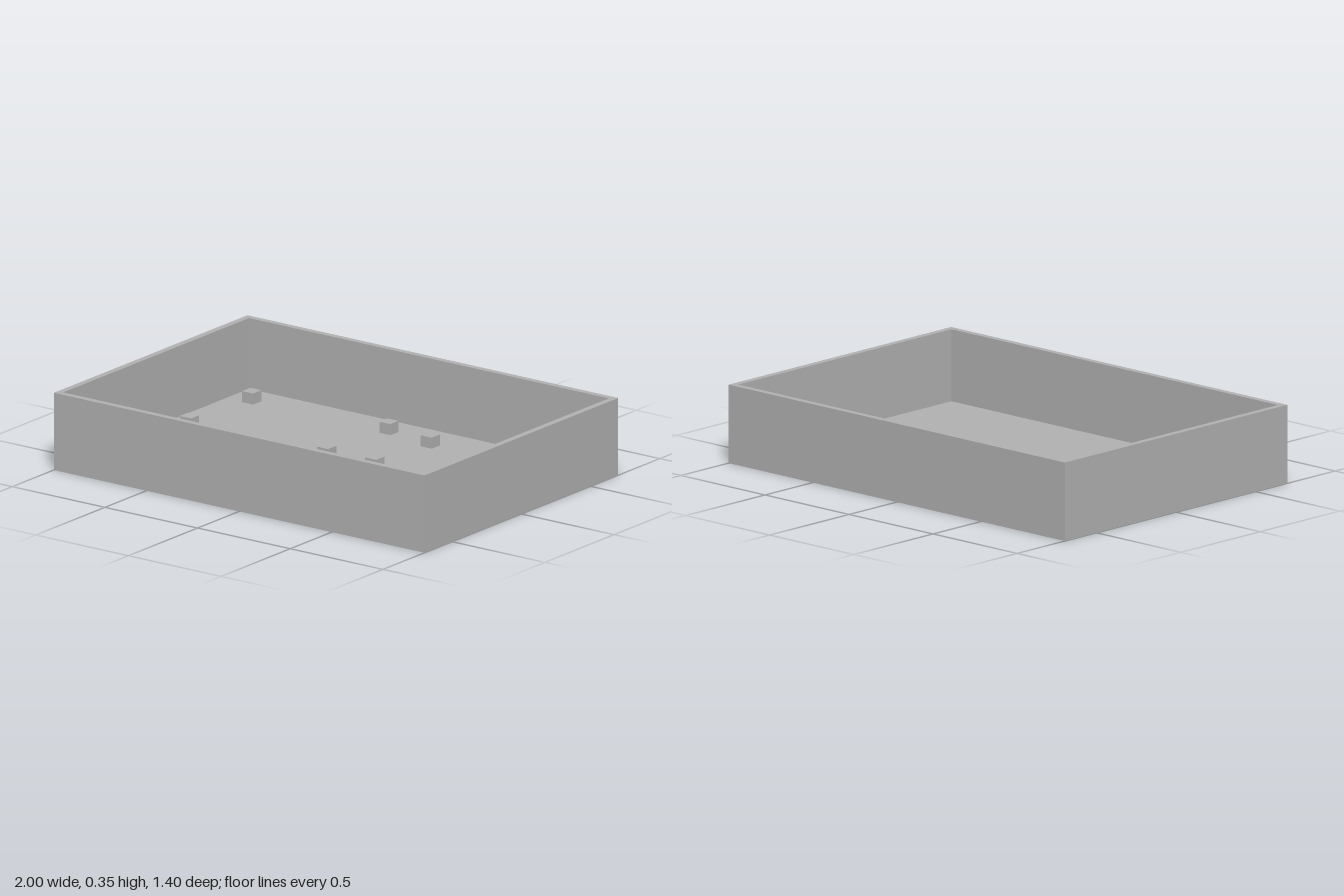
import * as THREE from 'three';

const W = 2, D = 1.4, H = 0.35; // outer size
const T = 0.029;                // wall and floor thickness
const POST = 0.06, POST_H = 0.05;

const rectangle = (PathType, w, d) => new PathType([
  new THREE.Vector2(-w / 2, -d / 2), new THREE.Vector2(w / 2, -d / 2),
  new THREE.Vector2(w / 2, d / 2), new THREE.Vector2(-w / 2, d / 2),
]);

export function createModel() {
  const group = new THREE.Group();
  group.name = 'enclosureTray';
  const grey = new THREE.MeshStandardMaterial({ color: 0xb2b2b2 });
  grey.name = 'light grey';

  const add = (name, geometry, x, y, z) => {
    const mesh = new THREE.Mesh(geometry, grey);
    mesh.name = name;
    mesh.position.set(x, y, z);
    group.add(mesh);
  };

  // Four walls as one rectangular ring
  const ring = rectangle(THREE.Shape, W, D);
  ring.holes.push(rectangle(THREE.Path, W - 2 * T, D - 2 * T));
  const walls = new THREE.ExtrudeGeometry(ring, { depth: H, bevelEnabled: false });
  walls.rotateX(-Math.PI / 2);
  add('walls', walls, 0, 0, 0);

  // Floor fitted inside the walls
  add('floor', new THREE.BoxGeometry(W - 2 * T, T, D - 2 * T), 0, T / 2, 0);

  // Two sets of four mounting posts: x positions, z positions
  const boards = [
    { name: 'rightPost', xs: [-0.85, -0.11], zs: [-0.53, -0.08] },
    { name: 'leftPost', xs: [0.15, 0.81], zs: [-0.48, -0.08] },
  ];
  const post = new THREE.BoxGeometry(POST, POST_H, POST);
  for (const { name, xs, zs } of boards)
    for (const x of xs) for (const z of zs) add(name, post, x, T + POST_H / 2, z);

  return group;
}
